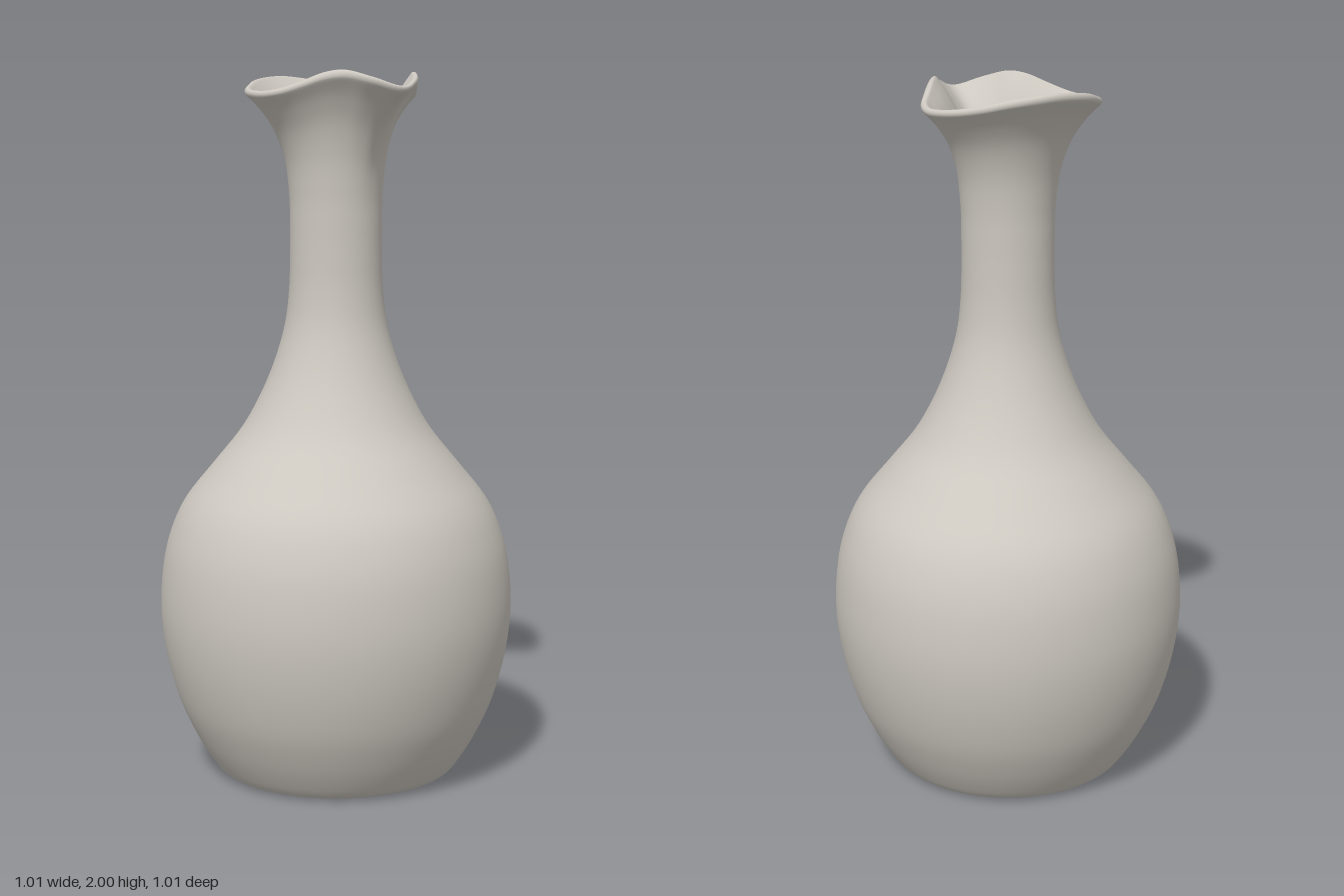
import * as THREE from 'three';
import { mergeVertices } from 'three/addons/utils/BufferGeometryUtils.js';

const WALL = 0.022;
const FLARE_START = 1.55;
const FLARE_HEIGHT = 0.4;
const RIM_RADIUS = 0.26;
const RIM_TOP = 1.95;

// Rim radius and height every 15 degrees, from the spout round to the back
const RIM = [
  [0.315, 1.957], [0.288, 1.98], [0.25, 2.0], [0.233, 1.995], [0.234, 1.975],
  [0.249, 1.955], [0.26, 1.947], [0.263, 1.95], [0.263, 1.958], [0.262, 1.97],
  [0.266, 1.985], [0.27, 1.995], [0.272, 2.0],
];

// Outer silhouette: radius, height
const OUTER = [
  [0.3, 0], [0.335, 0.01], [0.365, 0.045], [0.41, 0.12], [0.455, 0.22],
  [0.49, 0.35], [0.505, 0.48], [0.497, 0.61], [0.473, 0.71], [0.43, 0.8],
  [0.35, 0.9], [0.27, 1.0], [0.214, 1.1], [0.173, 1.2], [0.145, 1.3],
  [0.133, 1.4], [0.13, 1.5], [0.13, 1.58], [0.132, 1.66], [0.143, 1.75],
  [0.17, 1.83], [0.21, 1.89], [0.25, 1.93],
];

// Closed wall section: base, outside, rounded lip, inside, inner floor
function wallProfile() {
  const curve = new THREE.SplineCurve(OUTER.map(([r, y]) => new THREE.Vector2(r, y)));
  const outside = [];
  const inside = [];
  const steps = 110;
  for (let i = 0; i <= steps; i++) {
    const p = curve.getPoint(i / steps);
    const t = curve.getTangent(i / steps);
    outside.push(p);
    if (p.y > 0.06) inside.unshift(new THREE.Vector2(p.x - t.y * WALL, p.y + t.x * WALL));
  }
  const end = outside[steps];
  const middle = end.clone().add(inside[0]).multiplyScalar(0.5);
  const lip = [];
  for (let i = 1; i < 8; i++) {
    lip.push(end.clone().rotateAround(middle, (i / 8) * Math.PI));
  }
  return [
    new THREE.Vector2(0, 0), new THREE.Vector2(0.15, 0), new THREE.Vector2(0.28, 0),
    ...outside, ...lip, ...inside,
    new THREE.Vector2(0.32, 0.038), new THREE.Vector2(0.28, 0.03), new THREE.Vector2(0, 0.03),
  ];
}

// Pull the round mouth out into a wavy rim with a pouring spout at the front
function shapeMouth(geometry) {
  const keys = [...RIM, ...RIM.slice(1, -1).reverse()];
  const rim = new THREE.CatmullRomCurve3(
    keys.map(([r, y]) => new THREE.Vector3(r, y, 0)), true, 'catmullrom', 0.5);
  const pos = geometry.attributes.position;
  for (let i = 0; i < pos.count; i++) {
    const x = pos.getX(i), y = pos.getY(i), z = pos.getZ(i);
    if (y <= FLARE_START) continue;
    const t = Math.min(1, (y - FLARE_START) / FLARE_HEIGHT);
    const angle = (Math.atan2(x, z) + Math.PI * 2) % (Math.PI * 2);
    const target = rim.getPoint(angle / (Math.PI * 2));
    const radius = Math.hypot(x, z) + (target.x - RIM_RADIUS) * Math.pow(t, 3.6);
    pos.setXYZ(i, radius * Math.sin(angle), y + (target.y - RIM_TOP) * t * t, radius * Math.cos(angle));
  }
}

export function createModel() {
  const model = new THREE.Group();
  model.name = 'vase';

  const ceramic = new THREE.MeshStandardMaterial({ color: 0xcdc8c0 });
  ceramic.name = 'warm grey ceramic';

  let geometry = new THREE.LatheGeometry(wallProfile(), 120);
  shapeMouth(geometry);

  // Weld the seam so the shading is smooth all round
  geometry.deleteAttribute('uv');
  geometry.deleteAttribute('normal');
  geometry = mergeVertices(geometry, 1e-5);
  geometry.computeVertexNormals();

  const body = new THREE.Mesh(geometry, ceramic);
  body.name = 'vaseBody';
  model.add(body);
  return model;
}
